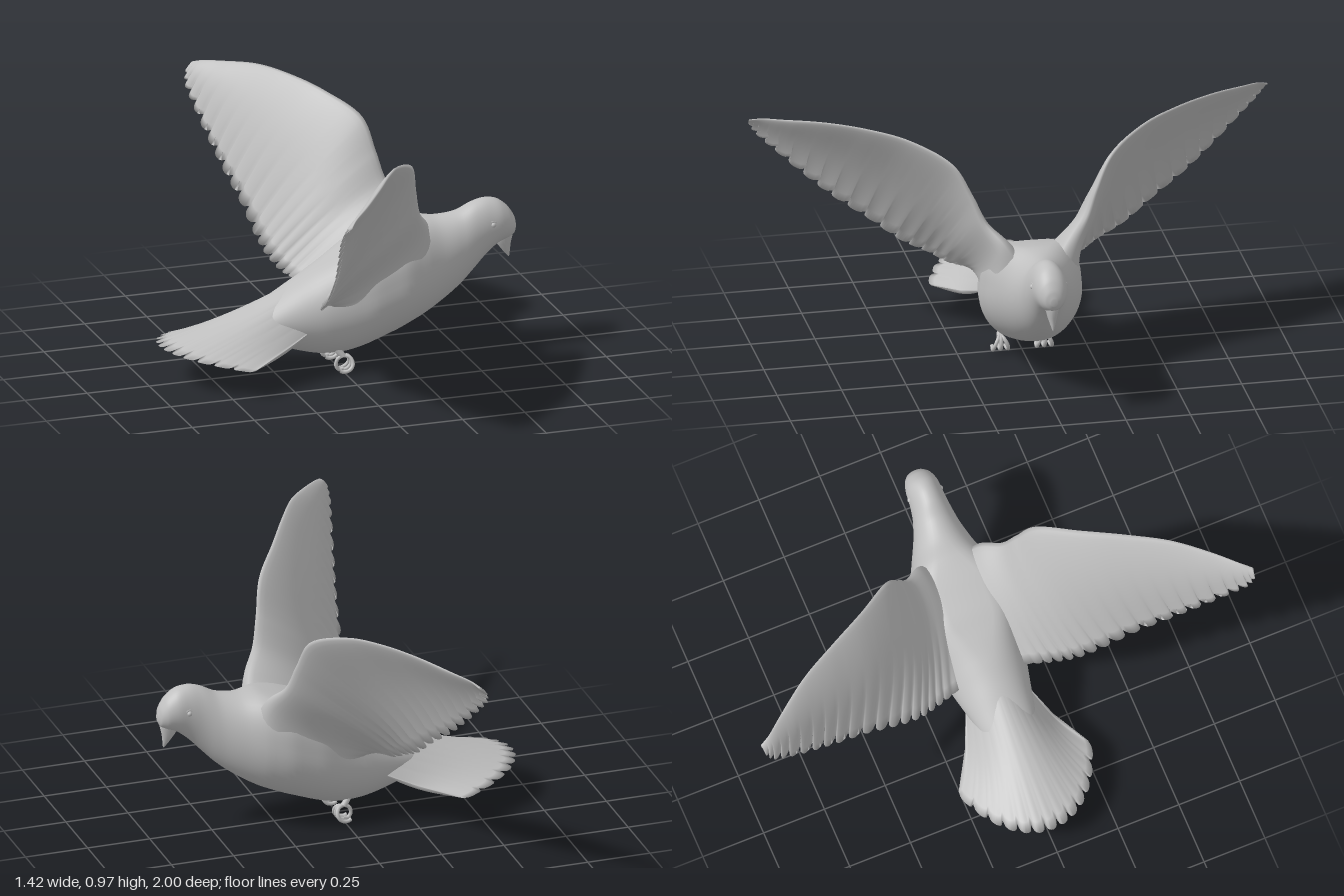
import * as THREE from 'three';

const V = (x, y, z) => new THREE.Vector3(x, y, z);
const curve = (pts) => new THREE.CatmullRomCurve3(pts.map((p) => V(...p)));
const smooth = THREE.MathUtils.smoothstep;

// Skin a list of closed rings into a capped solid, facing outward
function loft(rings) {
  const n = rings[0].length, pos = [], idx = [];
  for (const ring of rings) for (const p of ring) pos.push(p.x, p.y, p.z);
  for (let i = 0; i < rings.length - 1; i++) {
    for (let j = 0; j < n; j++) {
      const a = i * n + j, b = i * n + (j + 1) % n;
      idx.push(a, b, a + n, b, b + n, a + n);
    }
  }
  const cap = (row, flip) => {
    const c = rings[row].reduce((s, p) => s.add(p), V(0, 0, 0)).divideScalar(n);
    const k = pos.length / 3;
    pos.push(c.x, c.y, c.z);
    for (let j = 0; j < n; j++) {
      const a = row * n + j, b = row * n + (j + 1) % n;
      if (flip) idx.push(k, b, a); else idx.push(k, a, b);
    }
  };
  cap(0, true);
  cap(rings.length - 1, false);

  // Reverse the corners if the enclosed volume is negative
  const at = (i) => V(pos[i * 3], pos[i * 3 + 1], pos[i * 3 + 2]);
  let volume = 0;
  for (let i = 0; i < idx.length; i += 3) {
    volume += at(idx[i]).dot(at(idx[i + 1]).cross(at(idx[i + 2])));
  }
  if (volume < 0) idx.reverse();

  const g = new THREE.BufferGeometry();
  g.setAttribute('position', new THREE.Float32BufferAttribute(pos, 3));
  g.setIndex(idx);
  g.computeVertexNormals();
  return g;
}

// Rounded feather tip: 0 in the notch, 1 at the middle of the feather
const featherTip = (f) => Math.sqrt(Math.max(0, 1 - (2 * f - 1) ** 2));

// Ring running along the top of a thin blade and back underneath
function bladeRing(steps, point) {
  const ring = [];
  for (let j = 0; j <= steps; j++) ring.push(point(j / steps, 1));
  for (let j = steps - 1; j > 0; j--) ring.push(point(j / steps, -1));
  return ring;
}

// Body and head: x, top, bottom, half width
function bodyGeometry() {
  const rows = [
    [-0.46, 0.2, 0.19, 0.03], [-0.38, 0.234, 0.168, 0.07], [-0.28, 0.288, 0.132, 0.108],
    [-0.18, 0.348, 0.09, 0.132], [-0.08, 0.405, 0.064, 0.155], [0.02, 0.455, 0.062, 0.172],
    [0.12, 0.5, 0.088, 0.187], [0.22, 0.535, 0.125, 0.187], [0.32, 0.56, 0.168, 0.163],
    [0.4, 0.557, 0.215, 0.128], [0.48, 0.57, 0.275, 0.095], [0.54, 0.6, 0.335, 0.077],
    [0.59, 0.612, 0.388, 0.069], [0.64, 0.603, 0.428, 0.065], [0.68, 0.572, 0.443, 0.053],
    [0.704, 0.535, 0.458, 0.034], [0.713, 0.505, 0.478, 0.012],
  ];
  const middle = curve(rows.map(([x, t, b]) => [x, (t + b) / 2, 0.02 * smooth(x, 0.3, 0.58)]));
  const size = curve(rows.map(([, t, b, w]) => [(t - b) / 2, w, 0]));
  const rings = [];
  for (let i = 0; i <= 80; i++) {
    const c = middle.getPoint(i / 80), s = size.getPoint(i / 80), ring = [];
    // Fuller shoulders where the wings attach
    const shoulder = smooth(c.x, -0.14, 0.1) * (1 - smooth(c.x, 0.22, 0.44));
    for (let j = 0; j < 48; j++) {
      const a = j / 48 * Math.PI * 2, cos = Math.cos(a), sin = Math.sin(a);
      const power = 1 - 0.6 * shoulder * smooth(sin, 0, 0.4);
      ring.push(V(c.x, c.y + s.x * sin, c.z + s.y * Math.sign(cos) * Math.abs(cos) ** power));
    }
    rings.push(ring);
  }
  return loft(rings);
}

// Wing: a cambered blade between its leading and trailing edges
function wingGeometry(side) {
  const lead = curve([
    [0.35, 0.47, 0.07], [0.325, 0.57, 0.13], [0.27, 0.645, 0.195], [0.24, 0.75, 0.24],
    [0.205, 0.87, 0.305], [0.1, 0.94, 0.45], [0.01, 0.965, 0.6], [-0.08, 0.968, 0.75],
    [-0.18, 0.947, 0.88], [-0.25, 0.93, 0.96], [-0.28, 0.915, 1.0],
  ]);
  const trail = curve([
    [-0.08, 0.3, 0.08], [-0.115, 0.305, 0.17], [-0.145, 0.315, 0.25], [-0.175, 0.355, 0.33],
    [-0.19, 0.405, 0.43], [-0.21, 0.495, 0.55], [-0.24, 0.585, 0.68], [-0.27, 0.675, 0.79],
    [-0.3, 0.775, 0.9], [-0.318, 0.845, 0.972], [-0.312, 0.895, 1.0],
  ]);
  const feathers = 21, rings = [];
  for (let i = 0; i <= feathers * 8; i++) {
    const u = i / (feathers * 8);
    const L = lead.getPoint(u), T = trail.getPoint(u);
    const chord = T.clone().sub(L), len = chord.length();
    const span = lead.getTangent(u).add(trail.getTangent(u)).normalize();
    const normal = chord.clone().cross(span).normalize();
    const f = (u * feathers) % 1;
    // Feathers lean outward toward the wing tip
    const lean = chord.clone().divideScalar(len).addScaledVector(span, 0.9 * u).normalize();
    const depth = Math.min(0.02 + 0.025 * u, len * 0.4) * smooth(u, 0.06, 0.2);
    const notch = depth * (1 - featherTip(f));
    const thick = (0.012 + 0.06 * (1 - u) ** 3) * Math.min(1, len / 0.25);
    const fairing = 0.045 * (1 - u) ** 5;
    const merge = 1 - smooth(u, 0, 0.24);
    rings.push(bladeRing(16, (t, face) => {
      const v = t ** 1.4, bow = Math.sin(Math.PI * v);
      const foil = 2 * Math.sqrt(v) * (1 - v) ** 1.5 * thick + 0.003 * Math.sin(Math.PI * t)
        + (face < 0 ? fairing * bow : 0);
      const ridge = -0.002 * Math.cos(f * Math.PI * 2) * v ** 3 * (1 - u);
      const p = L.clone().addScaledVector(chord, v);
      p.addScaledVector(lean, -notch * v * v);
      p.addScaledVector(normal, 0.045 * len * bow + face * foil + ridge);
      // The underside of the root flows down into the flank
      if (face < 0) p.lerp(V(p.x, p.y - 0.07, 0.182), merge * Math.max(0, bow) ** 0.6);
      if (side < 0) p.x += 0.055 * u * u;
      p.z *= side;
      return p;
    }));
  }
  return loft(rings);
}

// Tail: an arched fan with a feathered rim
function tailGeometry() {
  const feathers = 13, rings = [];
  for (let i = 0; i <= feathers * 8; i++) {
    const k = i / (feathers * 8), u = 2 * k - 1, f = (k * feathers) % 1;
    const root = V(-0.13, 0.366 - 0.17 * u * u, 0.12 * u);
    const tip = V(-0.712 + 0.28 * u * u, 0.155 - 0.048 * u * u, 0.275 * (1.2 * u - 0.2 * u ** 3));
    const scale = 1 - 0.055 * (1 - featherTip(f));
    rings.push(bladeRing(14, (t, face) => {
      const p = root.clone().lerp(tip, t * scale);
      const bow = Math.sin(Math.PI * t);
      p.y += -0.02 * bow + face * 0.007 * bow - 0.002 * Math.cos(f * Math.PI * 2) * t ** 3;
      p.z *= 1 - 0.1 * bow;
      return p;
    }));
  }
  return loft(rings);
}

// Beak: y, centre x, half length, half width
function beakGeometry() {
  const rows = [
    [0.485, 0.665, 0.034, 0.03], [0.45, 0.665, 0.037, 0.026], [0.42, 0.668, 0.027, 0.019],
    [0.39, 0.678, 0.014, 0.01], [0.372, 0.685, 0.006, 0.004], [0.364, 0.687, 0.001, 0.001],
  ];
  return loft(rows.map(([y, x, a, b]) => Array.from({ length: 20 }, (_, j) => {
    const q = j / 20 * Math.PI * 2;
    return V(x + a * Math.cos(q), y, 0.02 + b * Math.sin(q));
  })));
}

export function createModel() {
  const model = new THREE.Group();
  model.name = 'flyingBird';
  const plumage = new THREE.MeshStandardMaterial({ color: 0xbfbfbf });
  plumage.name = 'plumage grey';
  const add = (name, geometry, parent = model) => {
    const mesh = new THREE.Mesh(geometry, plumage);
    mesh.name = name;
    parent.add(mesh);
    return mesh;
  };

  add('body', bodyGeometry());
  add('tail', tailGeometry());
  add('beak', beakGeometry());

  for (const side of [1, -1]) {
    const label = side > 0 ? 'front' : 'back';
    add(label + 'Wing', wingGeometry(side));

    // Eye with a raised lid ring
    const z = 0.02 + side * 0.062;
    add(label + 'Eye', new THREE.SphereGeometry(0.011, 16, 12)).position.set(0.605, 0.52, z);
    add(label + 'EyeRing', new THREE.TorusGeometry(0.014, 0.0045, 8, 24)).position.set(0.605, 0.52, z);

    // Leg and curled toes
    const foot = new THREE.Group();
    foot.name = label + 'Foot';
    foot.position.z = side * 0.085;
    model.add(foot);
    const tube = (name, pts, r) => add(name, new THREE.TubeGeometry(curve(pts), 20, r, 8), foot);
    tube('leg', [[-0.035, 0.13, -0.015 * side], [-0.02, 0.09, -0.008 * side], [0, 0.062, 0]], 0.013);
    for (const s of [-1, 0, 1]) {
      tube('toe', [[0, 0.066, 0], [0.025, 0.058, 0.012 * s], [0.031, 0.032, 0.025 * s],
        [0.016, 0.013, 0.029 * s], [-0.008, 0.008, 0.027 * s], [-0.022, 0.014, 0.025 * s]], 0.0075);
    }
    tube('hindToe', [[0, 0.066, 0], [-0.022, 0.054, 0], [-0.029, 0.03, 0], [-0.018, 0.012, 0], [0, 0.013, 0]], 0.0075);
  }
  return model;
}
